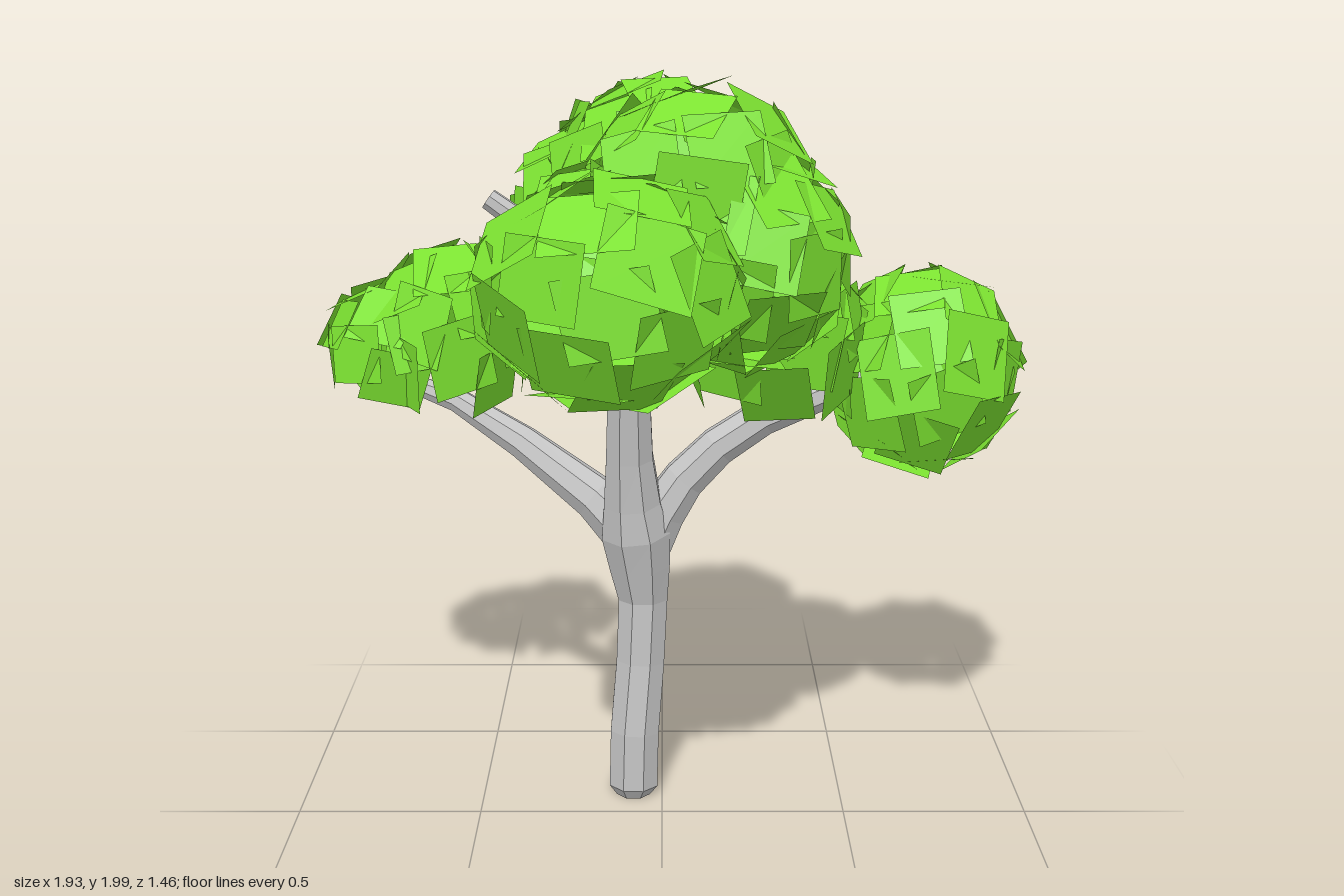
import * as THREE from 'three';
import { mergeGeometries } from 'three/addons/utils/BufferGeometryUtils.js';

const SIDES = 8;

function makeRandom(seed) {
  return () => {
    seed = (seed * 16807) % 2147483647;
    return seed / 2147483647;
  };
}

// Faceted limb through stations [x, y, z, radius], closed at both ends
function limbGeometry(stations) {
  const centres = stations.map(([x, y, z]) => new THREE.Vector3(x, y, z));
  const n = centres.length;
  const pos = [];
  const index = [];
  const side = new THREE.Vector3(Math.cos(0.39), 0, Math.sin(0.39));
  centres.forEach((c, i) => {
    const t = centres[Math.min(i + 1, n - 1)].clone().sub(centres[Math.max(i - 1, 0)]).normalize();
    side.addScaledVector(t, -side.dot(t)).normalize();
    const other = t.clone().cross(side);
    for (let j = 0; j < SIDES; j++) {
      const a = (j / SIDES) * Math.PI * 2;
      const p = c.clone()
        .addScaledVector(side, Math.cos(a) * stations[i][3])
        .addScaledVector(other, Math.sin(a) * stations[i][3]);
      pos.push(p.x, p.y, p.z);
    }
  });
  const first = n * SIDES;
  pos.push(...centres[0].toArray(), ...centres[n - 1].toArray());
  for (let j = 0; j < SIDES; j++) {
    const k = (j + 1) % SIDES;
    for (let i = 0; i < n - 1; i++) {
      const a = i * SIDES, b = a + SIDES;
      index.push(a + j, a + k, b + k, a + j, b + k, b + j);
    }
    const last = (n - 1) * SIDES;
    index.push(first, k, j, first + 1, last + j, last + k);
  }
  const g = new THREE.BufferGeometry();
  g.setAttribute('position', new THREE.Float32BufferAttribute(pos, 3));
  g.setIndex(index);
  const flat = g.toNonIndexed();
  flat.computeVertexNormals();
  return flat;
}

// Shell of square leaf cards fitted to a box; floor drops the cards facing down
function leafCards({ min, max, floor = -1, count = 34 }, seed) {
  const random = makeRandom(seed);
  const cards = [];
  const bounds = new THREE.Box3();
  const forward = new THREE.Vector3(0, 0, 1);
  for (let i = 0; i < count; i++) {
    const y = 1 - (2 * (i + 0.5)) / count;
    const a = i * 2.39996 + seed;
    const r = Math.sqrt(1 - y * y);
    const dir = new THREE.Vector3(r * Math.cos(a), y, r * Math.sin(a));
    const jitter = () => (random() - 0.5) * 0.24;
    const facing = dir.clone().add(new THREE.Vector3(jitter(), jitter(), jitter())).normalize();
    const size = 0.74 + random() * 0.12;
    const card = new THREE.PlaneGeometry(size, size);
    card.rotateZ((random() - 0.5) * 0.6);
    card.applyQuaternion(new THREE.Quaternion().setFromUnitVectors(forward, facing));
    const p = dir.clone().multiplyScalar(0.96 + random() * 0.08);
    card.translate(p.x, p.y, p.z);
    if (y < floor) continue;
    card.computeBoundingBox();
    bounds.union(card.boundingBox);
    cards.push(card);
  }
  const size = bounds.getSize(new THREE.Vector3());
  const mid = bounds.getCenter(new THREE.Vector3());
  cards.forEach((card) => {
    card.translate(-mid.x, -mid.y, -mid.z);
    card.scale(...[0, 1, 2].map((k) => (max[k] - min[k]) / size.getComponent(k)));
    card.translate(...[0, 1, 2].map((k) => (max[k] + min[k]) / 2));
    card.computeBoundingBox();
  });
  return cards;
}

export function createModel() {
  const tree = new THREE.Group();
  tree.name = 'tree';

  const bark = new THREE.MeshStandardMaterial({ color: 0xc2c2c2, flatShading: true });
  bark.name = 'grey bark';
  const leaf = new THREE.MeshStandardMaterial({ color: 0x7ce231, flatShading: true, side: THREE.DoubleSide });
  leaf.name = 'green leaf';

  // Trunk and limbs
  const limbs = {
    trunk: [
      [-0.08, 0.01, -0.12, 0.05], [-0.08, 0.04, -0.12, 0.072], [-0.076, 0.2, -0.127, 0.072],
      [-0.06, 0.4, -0.152, 0.071], [-0.052, 0.58, -0.165, 0.072], [-0.06, 0.68, -0.16, 0.088],
      [-0.07, 0.78, -0.15, 0.1], [-0.08, 0.87, -0.132, 0.082], [-0.086, 1.0, -0.11, 0.067],
      [-0.086, 1.18, -0.085, 0.06], [-0.08, 1.36, -0.06, 0.052],
    ],
    rightSideBranch: [
      [-0.06, 0.7, -0.16, 0.075], [0.0, 0.83, -0.165, 0.068], [0.06, 0.92, -0.17, 0.06],
      [0.15, 1.01, -0.175, 0.055], [0.27, 1.09, -0.18, 0.051], [0.45, 1.16, -0.19, 0.044],
      [0.66, 1.22, -0.2, 0.03],
    ],
    leftSideBranch: [
      [-0.05, 0.74, -0.15, 0.085], [-0.18, 0.86, -0.19, 0.064], [-0.38, 0.99, -0.28, 0.048],
      [-0.57, 1.08, -0.39, 0.035], [-0.8, 1.14, -0.49, 0.023],
    ],
    crownStubBranch: [
      [-0.08, 1.25, -0.08, 0.045], [-0.17, 1.46, -0.09, 0.038], [-0.3, 1.58, -0.11, 0.034],
      [-0.44, 1.68, -0.12, 0.028],
    ],
    frontBranch: [
      [-0.085, 1.25, -0.08, 0.045], [-0.09, 1.46, 0.0, 0.04], [-0.1, 1.62, 0.14, 0.034],
      [-0.12, 1.69, 0.32, 0.024],
    ],
    crownBranch: [
      [-0.08, 1.25, -0.08, 0.045], [0.04, 1.5, -0.02, 0.038], [0.15, 1.74, 0.1, 0.024],
    ],
  };
  for (const [name, stations] of Object.entries(limbs)) {
    const mesh = new THREE.Mesh(limbGeometry(stations), bark);
    mesh.name = name;
    tree.add(mesh);
  }

  // Leaf clumps, each given by the box it fills
  const clumps = {
    frontLeaves: { min: [-0.44, 1.27, 0.15], max: [0.2, 1.83, 0.73] },
    crownLeaves: { min: [-0.08, 1.3, -0.13], max: [0.47, 1.86, 0.46] },
    topLeaves: { min: [-0.2, 1.45, -0.13], max: [0.38, 2.0, 0.4] },
    backTopLeaves: { min: [-0.3, 1.45, -0.49], max: [0.22, 1.99, 0.05] },
    backLeaves: { min: [-0.4, 1.32, -0.54], max: [0.14, 1.88, 0.0] },
    middleLeaves: { min: [-0.42, 1.2, -0.22], max: [0.1, 1.8, 0.3] },
    innerRightLeaves: { min: [0.03, 1.12, -0.47], max: [0.54, 1.6, 0.16], floor: -0.45 },
    outerRightLeaves: { min: [0.42, 0.93, -0.52], max: [0.97, 1.5, 0.08] },
    upperLeftLeaves: { min: [-0.83, 1.04, -0.73], max: [-0.34, 1.53, -0.13], floor: -0.4, count: 30 },
    lowerLeftLeaves: { min: [-0.96, 1.08, -0.69], max: [-0.48, 1.42, -0.16], floor: -0.3, count: 30 },
  };

  // A card is dropped where its centre lies deep inside another clump
  const buried = (p, own) => Object.values(clumps).some((c) => c !== own &&
    ['x', 'y', 'z'].reduce((sum, axis, k) =>
      sum + ((2 * p[axis] - c.min[k] - c.max[k]) / (c.max[k] - c.min[k])) ** 2, 0) < 0.45);

  Object.entries(clumps).forEach(([name, clump], i) => {
    const cards = leafCards(clump, 11 + i * 37)
      .filter((card) => !buried(card.boundingBox.getCenter(new THREE.Vector3()), clump));
    const mesh = new THREE.Mesh(mergeGeometries(cards), leaf);
    mesh.name = name;
    tree.add(mesh);
  });

  return tree;
}
